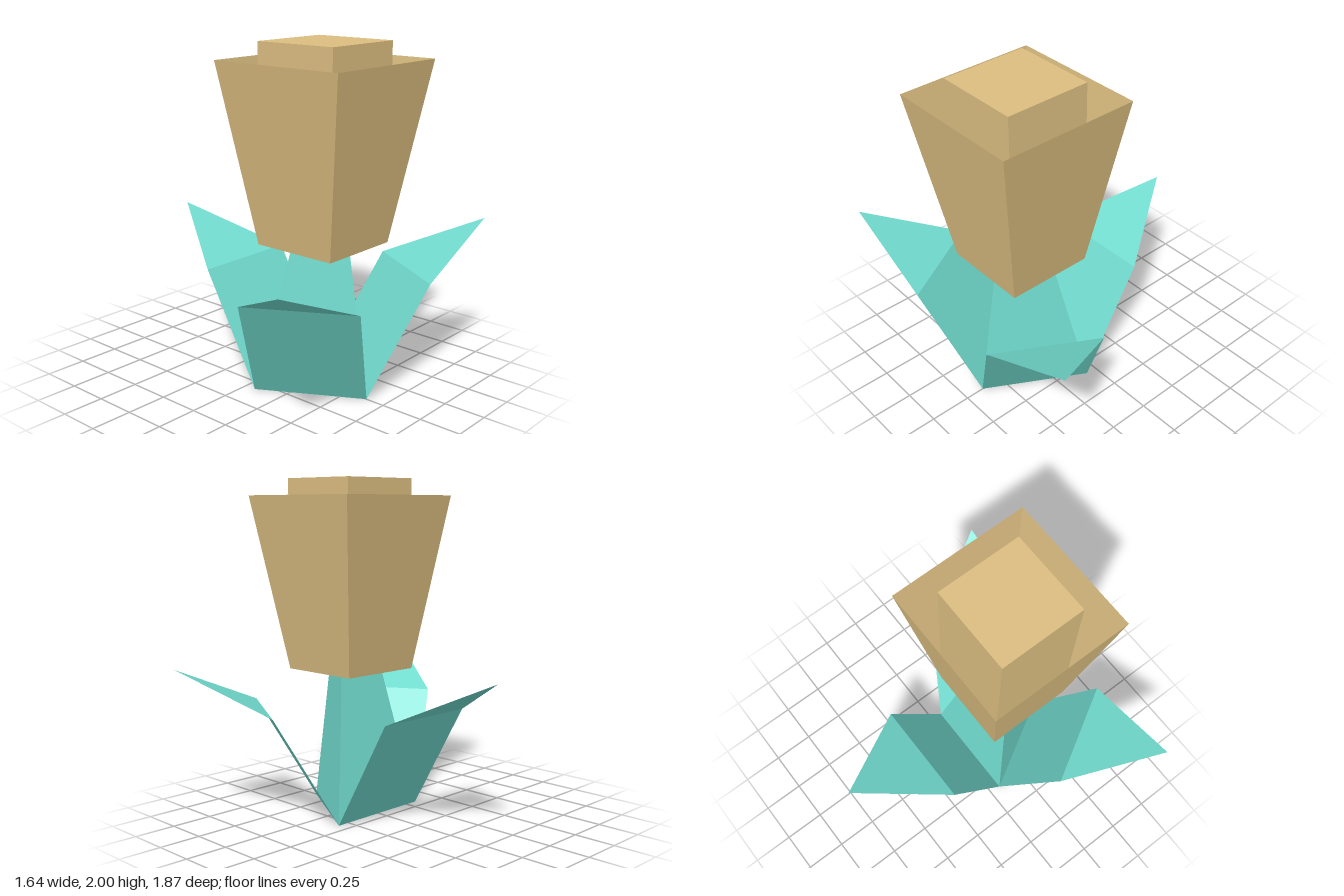
import * as THREE from 'three';

export function createModel() {
  const model = new THREE.Group();
  model.name = 'plant';

  const mat = (name, color) =>
    new THREE.MeshStandardMaterial({ name, color, flatShading: true, side: THREE.DoubleSide });
  const teal = mat('leaf teal', 0x71dbce);
  const tan = mat('bloom tan', 0xdbbd80);

  const add = (name, geometry, material, parent = model) => {
    const mesh = new THREE.Mesh(geometry, material);
    mesh.name = name;
    parent.add(mesh);
    return mesh;
  };

  const rootX = 0.258; // centre of the stem foot and leaves
  const bloomX = 0.305; // the stem leans slightly to here
  const bloomBase = 0.862;

  // Three-sided tapered stem, sheared so its top sits under the bloom
  const stem = new THREE.CylinderGeometry(0.188, 0.377, bloomBase, 3, 1, false, Math.PI / 2);
  stem.translate(0, bloomBase / 2, 0);
  const p = stem.attributes.position;
  for (let i = 0; i < p.count; i++) {
    p.setX(i, p.getX(i) + rootX + (bloomX - rootX) * p.getY(i) / bloomBase);
  }
  add('stem', stem, teal);

  // Folded leaf: a rising quad ending in a pointed, flatter tip
  const w = 0.3265;
  const a = [-0.188, 0, -w], b = [-0.188, 0, w];
  const c = [-0.563, 0.65, w], d = [-0.563, 0.65, -w];
  const tip = [-1.08, 0.907, 0];
  const leaf = new THREE.BufferGeometry();
  leaf.setAttribute('position', new THREE.Float32BufferAttribute(
    [a, b, c, a, c, d, d, c, tip].flat(), 3));
  leaf.computeVertexNormals();
  for (let i = 0; i < 3; i++) {
    const mesh = add('leaf', leaf, teal);
    mesh.position.x = rootX;
    mesh.rotation.y = i * Math.PI * 2 / 3;
  }

  // Bloom: open flared square cup around a solid square core
  const bloom = new THREE.Group();
  bloom.name = 'bloom';
  bloom.position.x = bloomX;
  model.add(bloom);

  const cupHeight = 1.9 - bloomBase;
  const cup = new THREE.CylinderGeometry(
    0.424 * Math.SQRT2, 0.26 * Math.SQRT2, cupHeight, 4, 1, true, Math.PI / 4);
  cup.translate(0, bloomBase + cupHeight / 2, 0);
  add('petalCup', cup, tan, bloom);

  const coreHeight = 2 - bloomBase;
  const core = new THREE.BoxGeometry(0.516, coreHeight, 0.516);
  core.translate(0, bloomBase + coreHeight / 2, 0);
  add('bloomCore', core, tan, bloom);

  return model;
}
